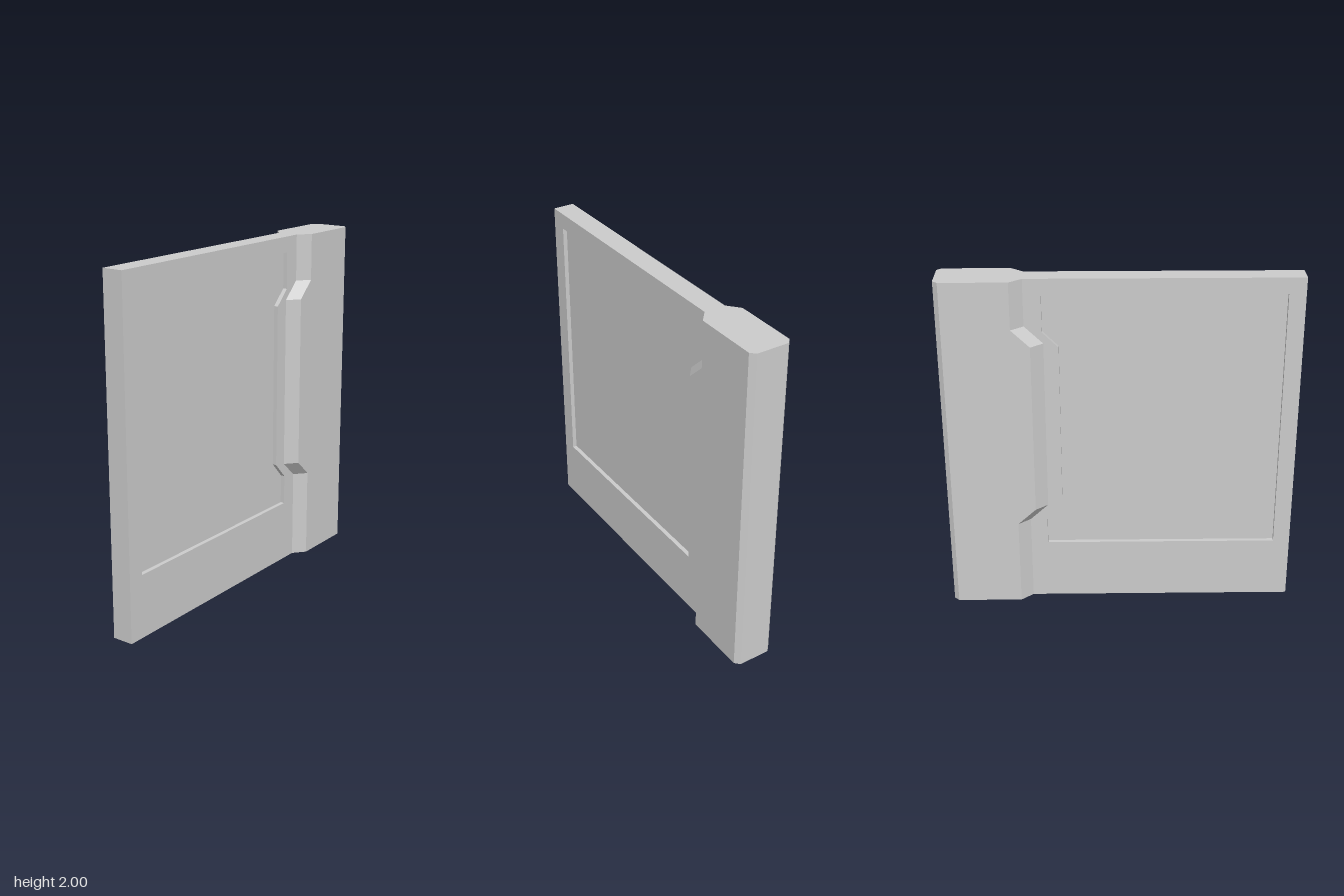
import * as THREE from 'three';

const material = new THREE.MeshStandardMaterial({ color: 0xcccccc, flatShading: true });
const SLAB = 0.062, PANEL = 0.037, POST = 0.121; // half thicknesses

// Inner edge of the lock post: [height, x]
const postEdge = [[0, 0.527], [0.525, 0.527], [0.62, 0.423], [1.63, 0.423], [1.73, 0.527], [2, 0.527]];
// Outline of the recessed panel, notched beside the post
const recess = [
  [-0.905, 0.365], [0.43, 0.365], [0.43, 0.54], [0.34, 0.635],
  [0.34, 1.605], [0.43, 1.695], [0.43, 1.908], [-0.905, 1.908],
];

const toPoints = (list) => list.map(([x, y]) => new THREE.Vector2(x, y));

function addSlab(group, name, shape, half) {
  const geometry = new THREE.ExtrudeGeometry(shape, { depth: 2 * half, bevelEnabled: false });
  geometry.translate(0, 0, -half);
  const mesh = new THREE.Mesh(geometry, material);
  mesh.name = name;
  group.add(mesh);
}

// Cross-section of the post, counterclockwise from above
function postRing([y, x]) {
  const half = [[x, SLAB], [x + 0.07, POST], [0.972, POST], [1, 0.094]];
  const mirrored = half.map(([px, pz]) => [px, -pz]).reverse();
  return [...half, ...mirrored].map(([px, pz]) => [px, y, pz]);
}

function postGeometry() {
  const rings = postEdge.map(postRing);
  const n = rings[0].length;
  const positions = [];
  const tri = (a, b, c) => positions.push(...a, ...b, ...c);
  for (let i = 0; i < rings.length - 1; i++) {
    const low = rings[i], high = rings[i + 1];
    for (let j = 0; j < n; j++) {
      const k = (j + 1) % n;
      tri(low[j], low[k], high[k]);
      tri(low[j], high[k], high[j]);
    }
  }
  // End caps
  const bottom = rings[0], top = rings[rings.length - 1];
  for (let j = 1; j < n - 1; j++) {
    tri(top[0], top[j], top[j + 1]);
    tri(bottom[0], bottom[j + 1], bottom[j]);
  }
  const geometry = new THREE.BufferGeometry();
  geometry.setAttribute('position', new THREE.Float32BufferAttribute(positions, 3));
  geometry.computeVertexNormals();
  return geometry;
}

export function createModel() {
  const group = new THREE.Group();
  group.name = 'slidingDoor';

  // Door frame with an opening for the panel
  const outline = [[-1, 0], ...postEdge.map(([y, x]) => [x, y]), [-1, 2]];
  const frame = new THREE.Shape(toPoints(outline));
  frame.holes.push(new THREE.Path(toPoints(recess)));
  addSlab(group, 'doorFrame', frame, SLAB);

  // Thin panel filling the opening, recessed on both faces
  addSlab(group, 'recessedPanel', new THREE.Shape(toPoints(recess)), PANEL);

  // Thick bevelled post along the closing edge
  const post = new THREE.Mesh(postGeometry(), material);
  post.name = 'edgePost';
  group.add(post);

  return group;
}
